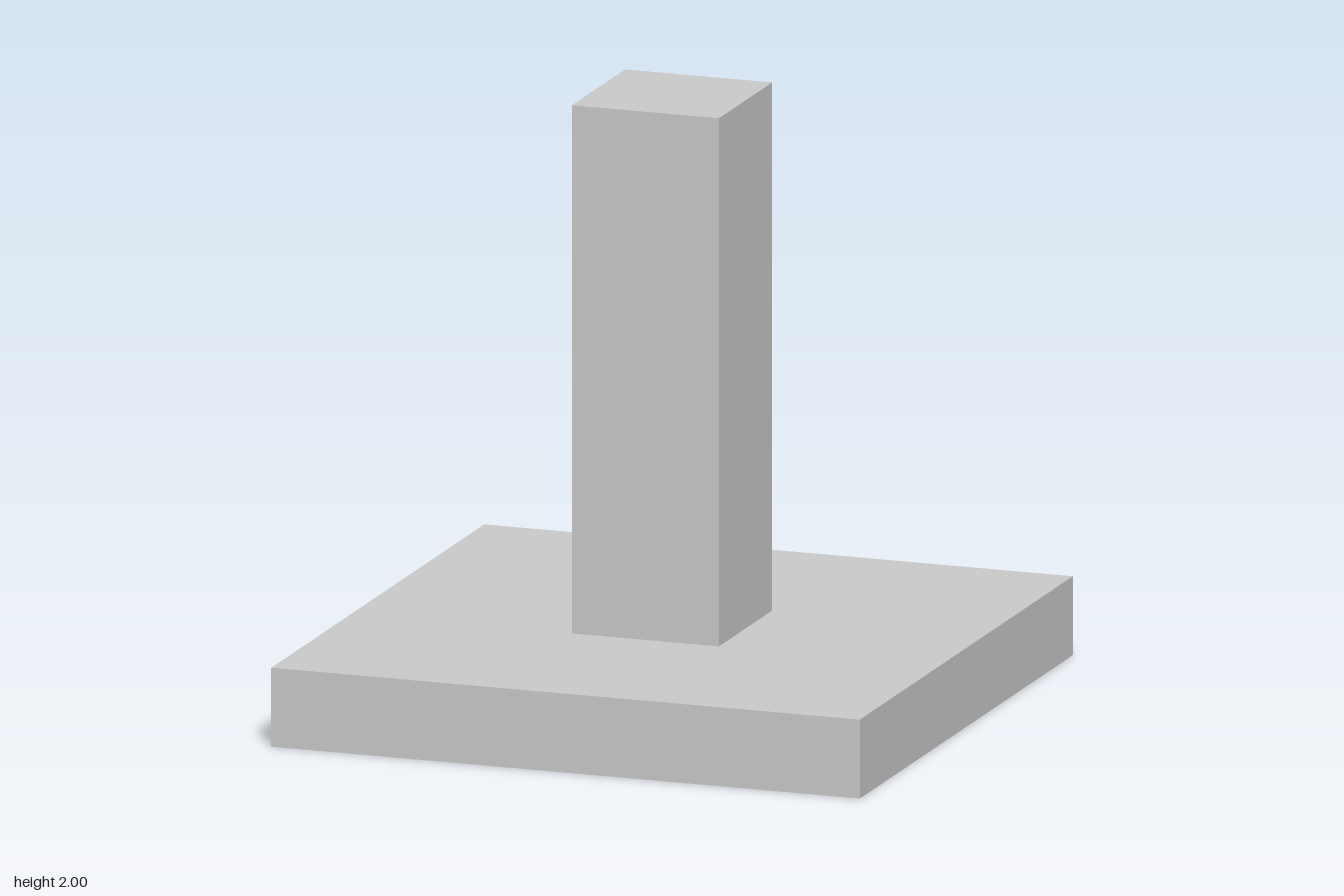
import * as THREE from 'three';

const BASE_HEIGHT = 0.26;
const TOTAL_HEIGHT = 2;

export function createModel() {
  const model = new THREE.Group();
  model.name = 'columnOnFooting';
  const material = new THREE.MeshStandardMaterial({ color: 0xcccccc, flatShading: true });

  // Square block of the given width, spanning bottom to top
  const addBlock = (name, width, bottom, top) => {
    const mesh = new THREE.Mesh(new THREE.BoxGeometry(width, top - bottom, width), material);
    mesh.name = name;
    mesh.position.y = (bottom + top) / 2;
    model.add(mesh);
  };

  // Wide footing slab with a square column standing on its centre
  addBlock('footing', 2, 0, BASE_HEIGHT);
  addBlock('column', 0.5, BASE_HEIGHT, TOTAL_HEIGHT);

  return model;
}
